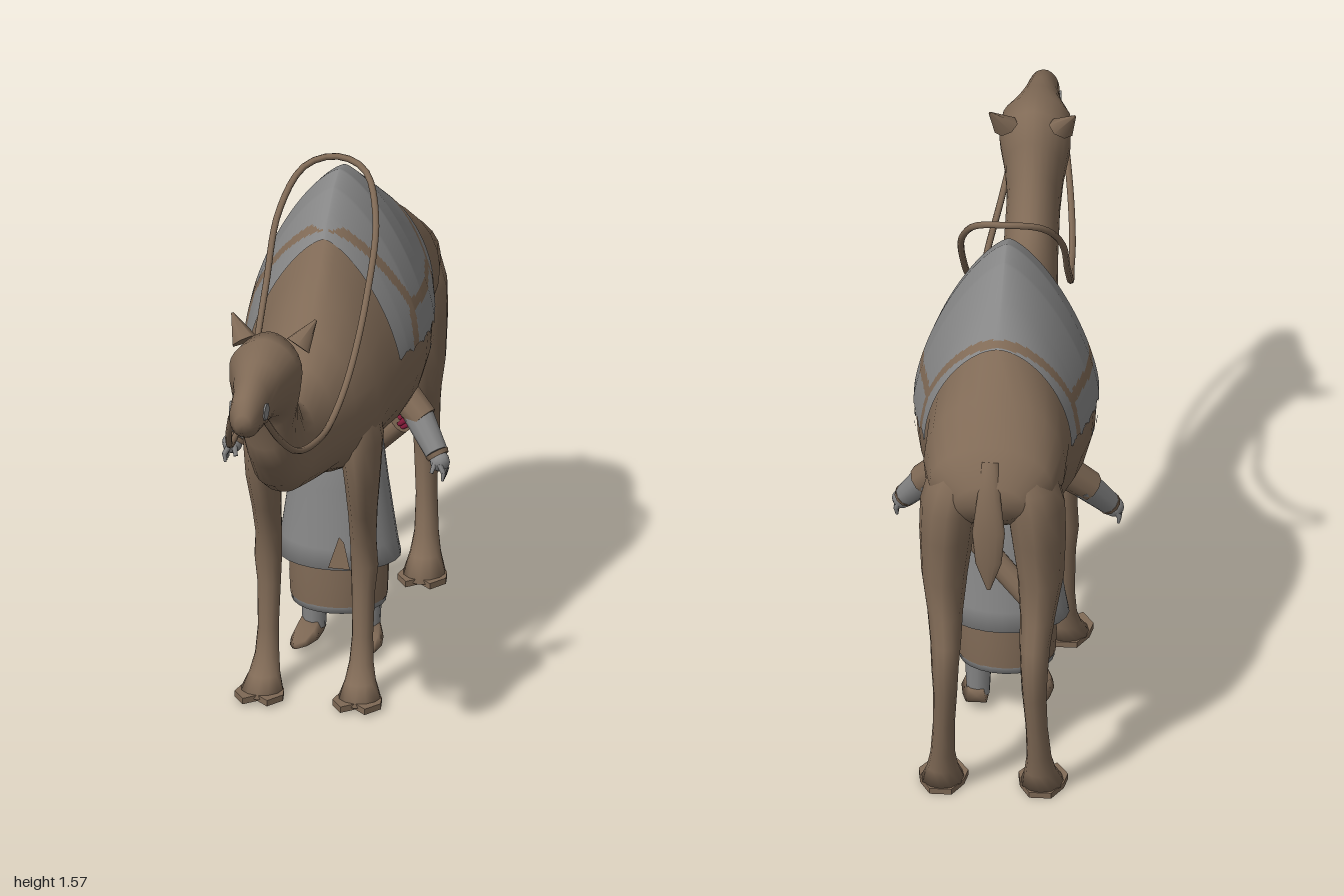
import * as THREE from 'three';

const brown = new THREE.MeshStandardMaterial({ color: 0x806a56, side: THREE.DoubleSide });
const grey = new THREE.MeshStandardMaterial({ color: 0x868686, side: THREE.DoubleSide });
const red = new THREE.MeshStandardMaterial({ color: 0x8a1c3c });
brown.name = 'brown'; grey.name = 'grey'; red.name = 'red';

const V = (x, y, z) => new THREE.Vector3(x, y, z);

function add(parent, name, geometry, material) {
  const mesh = new THREE.Mesh(geometry, material);
  mesh.name = name;
  parent.add(mesh);
  return mesh;
}

// Closed skin over rings of equal length, turned outward by its signed volume
function loft(rings) {
  const n = rings[0].length, pts = rings.flat(), idx = [];
  for (let i = 0; i < rings.length - 1; i++)
    for (let j = 0; j < n; j++) {
      const a = i * n + j, b = i * n + (j + 1) % n;
      idx.push(a, b, a + n, b, b + n, a + n);
    }
  for (const [ring, start, flip] of [[rings[0], 0, true], [rings.at(-1), pts.length - n, false]]) {
    const c = pts.push(ring.reduce((s, p) => s.add(p), V(0, 0, 0)).divideScalar(n)) - 1;
    for (let j = 0; j < n; j++) {
      const a = start + j, b = start + (j + 1) % n;
      idx.push(...(flip ? [b, a, c] : [a, b, c]));
    }
  }
  let volume = 0;
  for (let i = 0; i < idx.length; i += 3)
    volume += pts[idx[i]].dot(V(0, 0, 0).crossVectors(pts[idx[i + 1]], pts[idx[i + 2]]));
  if (volume < 0) idx.reverse();
  const g = new THREE.BufferGeometry().setFromPoints(pts);
  g.setIndex(idx);
  g.computeVertexNormals();
  return g;
}

// Horizontal oval ring
const oval = (y, front, back, x, halfWidth) => Array.from({ length: 12 }, (_, k) => {
  const t = k / 12 * Math.PI * 2;
  return V(x + halfWidth * Math.cos(t), y, (front + back) / 2 + (front - back) / 2 * Math.sin(t));
});

// Tapered round limb between two points
function limb(parent, name, a, b, ra, rb, material, sides = 10) {
  const mesh = add(parent, name, new THREE.CylinderGeometry(rb, ra, a.distanceTo(b), sides), material);
  mesh.position.copy(a).lerp(b, 0.5);
  mesh.quaternion.setFromUnitVectors(V(0, 1, 0), b.clone().sub(a).normalize());
  return mesh;
}

// Head to rump: top z, top y, bottom z, bottom y, half width, height of widest point, upper sharpness
const front = [
  [1.0, 1.33, 0.995, 1.27, 0.024, 0.5, 1], [0.97, 1.375, 0.965, 1.245, 0.046, 0.5, 1],
  [0.88, 1.4, 0.88, 1.235, 0.056, 0.5, 1], [0.8, 1.417, 0.8, 1.225, 0.07, 0.6, 1],
  [0.7, 1.44, 0.745, 1.205, 0.1, 0.65, 1.1], [0.62, 1.43, 0.705, 1.16, 0.104, 0.6, 1.1],
  [0.575, 1.35, 0.7, 1.085, 0.085, 0.5, 1], [0.54, 1.27, 0.66, 1.01, 0.078, 0.5, 1],
  [0.44, 1.14, 0.57, 0.914, 0.08, 0.5, 1], [0.33, 1.09, 0.464, 0.85, 0.088, 0.5, 1],
  [0.2, 1.13, 0.33, 0.813, 0.113, 0.5, 1.05], [0.1, 1.19, 0.2, 0.79, 0.155, 0.45, 1.1],
  [0, 1.27, 0.06, 0.735, 0.198, 0.42, 1.25],
];
const back = [
  [-0.09, 1.345, -0.09, 0.72, 0.212, 0.42, 1.35], [-0.18, 1.435, -0.18, 0.715, 0.237, 0.42, 1.4],
  [-0.26, 1.492, -0.26, 0.705, 0.257, 0.41, 1.4], [-0.34, 1.517, -0.34, 0.7, 0.264, 0.41, 1.4],
  [-0.42, 1.497, -0.42, 0.705, 0.26, 0.42, 1.4], [-0.53, 1.425, -0.53, 0.73, 0.24, 0.42, 1.3],
  [-0.646, 1.34, -0.646, 0.8, 0.208, 0.45, 1.15], [-0.77, 1.246, -0.77, 0.86, 0.207, 0.45, 1],
  [-0.9, 1.155, -0.9, 0.9, 0.18, 0.5, 1], [-0.965, 1.06, -0.95, 0.94, 0.1, 0.5, 1],
];

// Point of a body section; angle 0 is the spine
function sectionPoint([tz, ty, bz, by, hw, mid, power], t, offset = 0) {
  const s = Math.sin(t), c = Math.cos(t), p = c > 0 ? power : 0.85;
  const k = c > 0 ? mid + (1 - mid) * c ** p : mid - mid * (-c) ** p;
  return V(Math.sign(s) * Math.abs(s) ** p * (hw + offset), by + (ty + offset - by) * k, bz + (tz - bz) * k);
}

function stationAt(z) {
  const i = back.findIndex(s => s[0] <= z), a = back[i - 1], b = back[i];
  return a.map((v, k) => v + (b[k] - v) * (z - a[0]) / (b[0] - a[0]));
}

// Saddle cloth following the hump, with a woven band, scalloped hem and two tassel spots
function clothGeometry() {
  const nz = 104, nt = 180, pts = [], plain = [], band = [];
  for (let i = 0; i <= nz; i++)
    for (let j = 0; j <= nt; j++)
      pts.push(sectionPoint(stationAt(-0.13 - 0.52 * i / nz), (j / nt * 2 - 1) * 1.95, 0.005));
  const near = (z, y, z0, y0, z1, y1) => y >= y0 && y <= y1 && Math.abs(z - z0 - (z1 - z0) * (y - y0) / (y1 - y0)) < 0.015;
  for (let i = 0; i < nz; i++)
    for (let j = 0; j < nt; j++) {
      const a = i * (nt + 1) + j, b = a + nt + 1;
      const { y, z } = pts[a].clone().add(pts[b + 1]).multiplyScalar(0.5);
      const spot = Math.min(Math.hypot(z + 0.37, y - 0.968), Math.hypot(z + 0.435, y - 0.968)) < 0.013;
      if (y < 1.022 + 0.015 * Math.abs(Math.sin(z * 45)) && !spot) continue;
      const striped = (Math.abs(y - 1.148) < 0.016 && z < -0.24 && z > -0.585)
        || near(z, y, -0.26, 1.14, -0.165, 1.41) || near(z, y, -0.575, 1.14, -0.635, 1.36)
        || near(z, y, -0.222, 1.0, -0.25, 1.14) || near(z, y, -0.59, 1.0, -0.58, 1.14);
      (striped ? band : plain).push(a, a + 1, b, a + 1, b + 1, b);
    }
  const g = new THREE.BufferGeometry().setFromPoints(pts);
  g.setIndex([...plain, ...band]);
  g.addGroup(0, plain.length, 0);
  g.addGroup(plain.length, band.length, 1);
  g.computeVertexNormals();
  return g;
}

// Leg sections: y, front z, back z, centre x, half width
const foreLeg = [
  [1.02, 0.06, -0.08, 0.11, 0.03], [0.93, 0.115, -0.1, 0.132, 0.055], [0.84, 0.14, -0.1, 0.143, 0.062],
  [0.71, 0.115, -0.07, 0.147, 0.05],
  [0.6, 0.07, -0.07, 0.143, 0.042], [0.5, 0.03, -0.067, 0.14, 0.039], [0.42, 0.018, -0.065, 0.143, 0.041],
  [0.34, 0.012, -0.055, 0.14, 0.035], [0.2, 0.02, -0.042, 0.14, 0.031], [0.12, 0.04, -0.03, 0.14, 0.036],
  [0.07, 0.075, -0.018, 0.142, 0.046], [0.025, 0.13, -0.013, 0.145, 0.064],
];
const hindLeg = [
  [1.1, -0.79, -0.91, 0.09, 0.05], [1.02, -0.73, -0.955, 0.112, 0.08], [0.95, -0.705, -0.968, 0.125, 0.086],
  [0.85, -0.705, -0.965, 0.133, 0.081],
  [0.71, -0.727, -0.945, 0.14, 0.068], [0.6, -0.79, -0.962, 0.135, 0.052], [0.52, -0.85, -0.983, 0.13, 0.045],
  [0.45, -0.89, -0.995, 0.13, 0.04], [0.36, -0.893, -0.98, 0.13, 0.035], [0.25, -0.88, -0.96, 0.135, 0.032],
  [0.14, -0.855, -0.935, 0.14, 0.036], [0.08, -0.82, -0.922, 0.142, 0.046], [0.025, -0.76, -0.915, 0.145, 0.064],
];

function addLeg(parent, name, rows, side) {
  add(parent, name, loft(rows.map(([y, f, b, x, w]) => oval(y, f, b, side * x, w))), brown);
  // Splayed foot with two toes
  const heel = rows.at(-1)[2];
  const outline = [[-0.032, 0], [-0.064, 0.06], [-0.072, 0.11], [-0.036, 0.167], [0, 0.13], [0.036, 0.167], [0.072, 0.11], [0.064, 0.06], [0.032, 0]];
  const foot = new THREE.Shape(outline.map(([x, z]) => new THREE.Vector2(x, -z)));
  const pad = add(parent, name + 'Foot', new THREE.ExtrudeGeometry(foot, { depth: 0.018, bevelEnabled: false }), brown);
  pad.rotation.x = -Math.PI / 2 + 0.08;
  pad.rotation.x = -Math.PI / 2 - 0.06;
  pad.position.set(side * 0.145, 0.008, heel);
}

function addRider(parent) {
  const person = new THREE.Group();
  person.name = 'person';
  parent.add(person);
  const lathe = (name, profile, material, sx) => {
    const m = add(person, name, new THREE.LatheGeometry(profile.map(p => new THREE.Vector2(...p)), 24), material);
    m.scale.x = sx;
    m.position.z = -0.337;
  };
  // Robe and layered skirt
  lathe('robe', [[0.12, 0.325], [0.147, 0.31], [0.138, 0.37], [0.117, 0.55], [0.1, 0.72], [0.05, 0.82], [0, 0.83]], grey, 1.24);
  lathe('skirt', [[0.127, 0.18], [0.13, 0.25], [0.128, 0.335]], brown, 1.12);
  lathe('skirtHem', [[0, 0.17], [0.115, 0.163], [0.126, 0.163], [0.1275, 0.182]], grey, 1.1);
  // Slit at the front of the robe
  const slit = new THREE.Shape([[0, 0.32], [0.065, 0.32], [0.045, 0.4], [0.03, 0.415]].map(p => new THREE.Vector2(...p)));
  const g = new THREE.ShapeGeometry(slit);
  const p = g.attributes.position;
  for (let i = 0; i < p.count; i++) p.setZ(i, -0.184 - 0.13 * (p.getY(i) - 0.32));
  g.computeVertexNormals();
  add(person, 'robeSlit', g, brown);

  for (const s of [1, -1]) {
    // Ankles and pointed shoes
    limb(person, 'ankle', V(s * 0.08, 0.05, -0.37), V(s * 0.08, 0.2, -0.37), 0.034, 0.042, grey);
    const shoe = [[-0.408, 0.03, 0.075], [-0.36, 0.038, 0.078], [-0.3, 0.04, 0.062], [-0.25, 0.026, 0.05], [-0.222, 0.006, 0.05]];
    add(person, 'shoe', loft(shoe.map(([z, w, top], i) => [[-1, 0.035], [1, 0.035], [0.7, top], [-0.7, top]]
      .map(([x, y]) => V(s * (0.083 + i * 0.006) + x * w, y, z)))), brown);
    // Sleeve, forearm and hand
    const elbow = V(s * 0.245, 0.74, -0.36), wrist = V(s * 0.295, 0.66, -0.31);
    limb(person, 'sleeve', V(s * 0.17, 0.81, -0.395), elbow, 0.05, 0.045, brown);
    limb(person, 'forearm', elbow.clone().add(V(s * -0.02, 0.015, -0.01)), wrist, 0.045, 0.034, grey);
    limb(person, 'cuff', wrist, V(s * 0.302, 0.65, -0.305), 0.036, 0.032, brown);
    const palm = add(person, 'palm', new THREE.SphereGeometry(0.03, 10, 8), grey);
    palm.position.set(s * 0.308, 0.64, -0.295);
    for (let k = 0; k < 4; k++) {
      const z = -0.315 + k * 0.014;
      limb(person, 'finger', V(s * 0.312, 0.64, z), V(s * 0.325, 0.615, z + 0.006), 0.009, 0.008, grey, 6);
      limb(person, 'fingertip', V(s * 0.325, 0.617, z + 0.006), V(s * 0.322, 0.592, z + 0.01), 0.008, 0.004, grey, 6);
    }
    limb(person, 'thumb', V(s * 0.3, 0.65, -0.28), V(s * 0.29, 0.615, -0.26), 0.01, 0.006, grey, 6);
  }

  // Quiver slung across the back, with arrow feathers
  const top = V(0.16, 0.69, -0.435), bottom = V(-0.11, 0.41, -0.512);
  limb(person, 'quiver', bottom, top, 0.034, 0.036, brown, 12);
  for (let k = 0; k < 7; k++) {
    const t = k / 7 * Math.PI * 2;
    const start = top.clone().add(V(0, 0.02 * Math.sin(t), 0.02 * Math.cos(t)));
    limb(person, 'arrowFeather', start, start.clone().add(V(0.055, 0.05 + 0.016 * Math.sin(t), -0.012 + 0.018 * Math.cos(t))), 0.007, 0.015, red, 5);
  }
}

export function createModel() {
  const model = new THREE.Group();
  model.name = 'camelWithPerson';
  add(model, 'body', loft([...front, ...back].map(s => Array.from({ length: 24 }, (_, k) => sectionPoint(s, k / 24 * Math.PI * 2)))), brown);
  add(model, 'saddleCloth', clothGeometry(), [grey, brown]);

  for (const s of [1, -1]) {
    addLeg(model, 'foreLeg', foreLeg, s);
    addLeg(model, 'hindLeg', hindLeg, s);
    const ear = limb(model, 'ear', V(s * 0.08, 1.385, 0.605), V(s * 0.124, 1.452, 0.562), 0.04, 0.004, brown, 7);
    ear.scale.z = 0.75;
    limb(model, 'bitPatch', V(s * 0.035, 1.31, 0.915), V(s * 0.055, 1.31, 0.917), 0.028, 0.025, grey, 8);
  }

  // Flat leaf-shaped tail
  const tail = [[1.12, -0.92, 0.025, 0.02], [1.03, -0.967, 0.034, 0.017], [0.92, -0.984, 0.048, 0.014], [0.82, -0.985, 0.038, 0.012], [0.73, -0.978, 0.006, 0.006]];
  add(model, 'tail', loft(tail.map(([y, z, w, d]) => oval(y, z + d, z - d, 0, w))), brown);

  // Reins looping from the mouth over the hump
  const half = [[0.05, 1.285, 0.92], [0.075, 1.19, 0.84], [0.1, 1.096, 0.705], [0.12, 1.05, 0.52], [0.128, 1.043, 0.373],
    [0.142, 1.11, 0.196], [0.15, 1.27, -0.02], [0.143, 1.45, -0.18], [0.088, 1.55, -0.285]];
  const path = [...half.map(p => V(...p)), V(0, 1.572, -0.318), ...half.map(([x, y, z]) => V(-x, y, z)).reverse()];
  add(model, 'reins', new THREE.TubeGeometry(new THREE.CatmullRomCurve3(path), 90, 0.01, 7), brown);

  addRider(model);
  return model;
}
